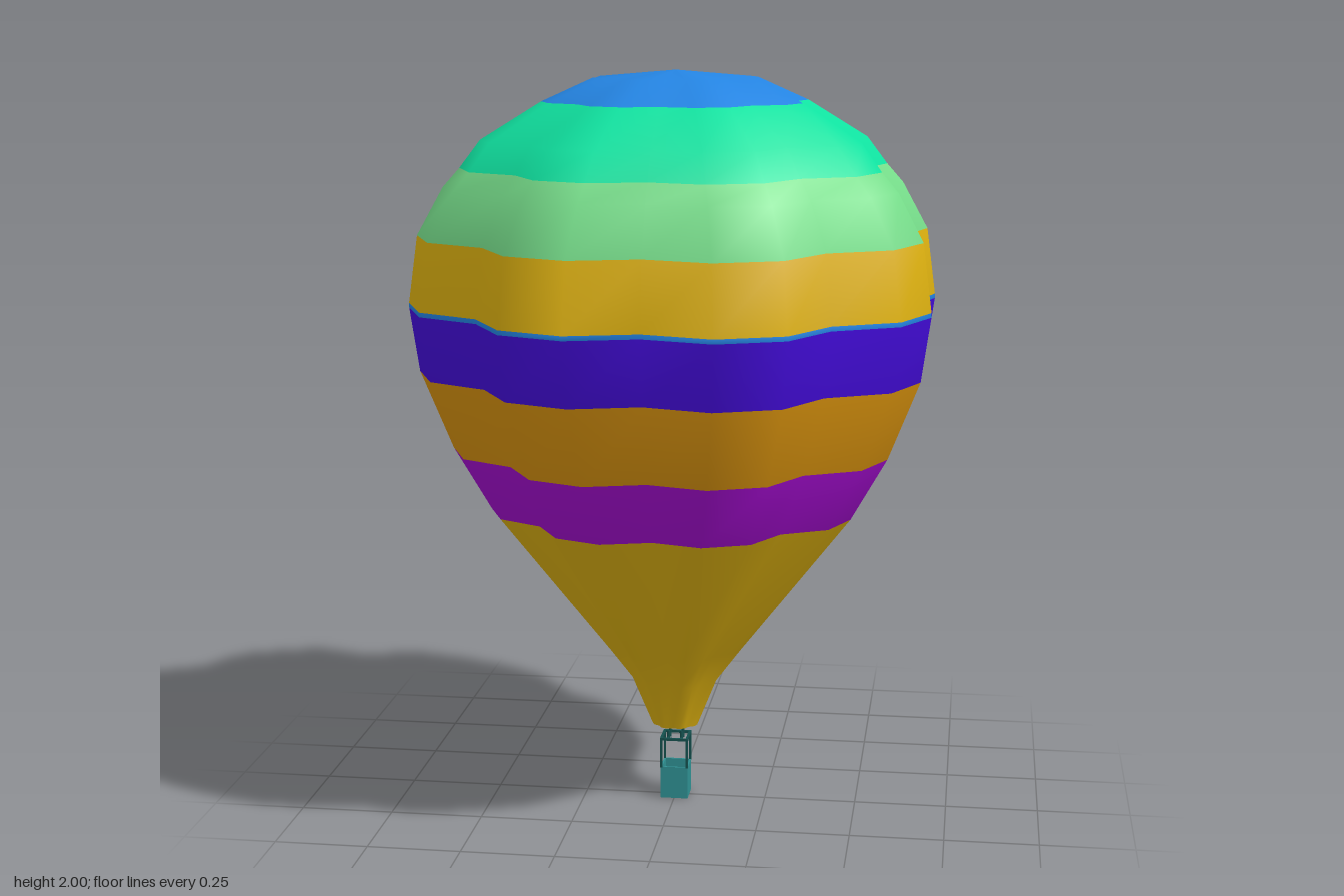
import * as THREE from 'three';

const mat = (name, color, side = THREE.FrontSide) => {
  const m = new THREE.MeshStandardMaterial({ color, side });
  m.name = name;
  return m;
};

export function createModel() {
  const D = THREE.DoubleSide;
  const blue = mat('sky blue', 0x2484e2, D);
  const mint = mat('mint green', 0x10e2a0, D);
  const pale = mat('pale green', 0x78e08c, D);
  const yellow = mat('golden yellow', 0xdcb010, D);
  const indigo = mat('indigo', 0x440cdc, D);
  const orange = mat('orange', 0xd8920e, D);
  const purple = mat('purple', 0xa40cd0, D);
  const teal = mat('basket teal', 0x2f9092);
  const dark = mat('frame teal', 0x14504e);

  const model = new THREE.Group();
  model.name = 'hotAirBalloon';

  // Envelope profile: half width and height, from mouth to crown
  const profile = [
    [0.062, 0.21], [0.116, 0.345], [0.185, 0.44], [0.483, 0.835],
    [0.578, 1.005], [0.66, 1.215], [0.684, 1.385], [0.684, 1.397],
    [0.66, 1.575], [0.593, 1.7], [0.55, 1.75], [0.497, 1.822],
    [0.342, 1.92], [0.212, 1.98], [0, 2],
  ];
  // Eight gores: each has two outer ribs and a valley at every 45 degrees
  const N = 24;
  const positions = [];
  for (const [w, y] of profile) {
    for (let i = 0; i < N; i++) {
      const a = (i / N) * Math.PI * 2;
      const r = (w / Math.cos(Math.PI / 12)) * (i % 3 === 0 ? 0.89 : 1);
      positions.push(Math.sin(a) * r, y, Math.cos(a) * r);
    }
  }
  const ringIndex = (from, to) => {
    const index = [];
    for (let j = from; j < to; j++) {
      for (let i = 0; i < N; i++) {
        const k = (i + 1) % N;
        const a = j * N + i, b = j * N + k, c = a + N, d = b + N;
        index.push(a, b, d);
        if (j < profile.length - 2) index.push(a, d, c);
      }
    }
    return index;
  };
  const skin = new THREE.BufferGeometry();
  skin.setAttribute('position', new THREE.Float32BufferAttribute(positions, 3));
  skin.setIndex(ringIndex(0, profile.length - 1));
  skin.computeVertexNormals();

  // Coloured bands share the skin's vertices and smooth normals
  const envelope = new THREE.Group();
  envelope.name = 'envelope';
  model.add(envelope);
  const bands = [
    ['lowerCone', yellow, 0, 3], ['purpleBand', purple, 3, 4],
    ['orangeBand', orange, 4, 5], ['indigoBand', indigo, 5, 6],
    ['equatorStripe', blue, 6, 7], ['yellowBand', yellow, 7, 8],
    ['paleGreenBand', pale, 8, 10], ['mintBand', mint, 10, 12],
    ['crown', blue, 12, 14],
  ];
  for (const [name, material, from, to] of bands) {
    const g = new THREE.BufferGeometry();
    g.setAttribute('position', skin.getAttribute('position'));
    g.setAttribute('normal', skin.getAttribute('normal'));
    g.setIndex(ringIndex(from, to));
    const band = new THREE.Mesh(g, material);
    band.name = name;
    envelope.add(band);
  }

  // Basket: floor, four walls, corner posts and a top frame
  const basket = new THREE.Group();
  basket.name = 'basket';
  model.add(basket);
  const box = (name, material, w, h, d, x, y, z) => {
    const m = new THREE.Mesh(new THREE.BoxGeometry(w, h, d), material);
    m.name = name;
    m.position.set(x, y, z);
    basket.add(m);
  };
  box('basketFloor', teal, 0.076, 0.008, 0.076, 0, 0.004, 0);
  for (const s of [-1, 1]) {
    box('basketSideWall', teal, 0.005, 0.09, 0.076, s * 0.0355, 0.045, 0);
    box('basketEndWall', teal, 0.066, 0.09, 0.005, 0, 0.045, s * 0.0355);
    box('frameSideRail', dark, 0.007, 0.007, 0.078, s * 0.0355, 0.17, 0);
    box('frameEndRail', dark, 0.066, 0.007, 0.007, 0, 0.17, s * 0.0355);
    for (const t of [-1, 1]) {
      box('cornerPost', dark, 0.006, 0.085, 0.006, s * 0.0355, 0.13, t * 0.0355);
      // Burners standing just above the frame
      const burner = new THREE.Mesh(new THREE.CylinderGeometry(0.004, 0.004, 0.03, 8), dark);
      burner.name = 'burner';
      burner.position.set(s * 0.018, 0.175, t * 0.018);
      basket.add(burner);
    }
    box('burnerBar', dark, 0.004, 0.005, 0.07, s * 0.018, 0.17, 0);
  }
  return model;
}
